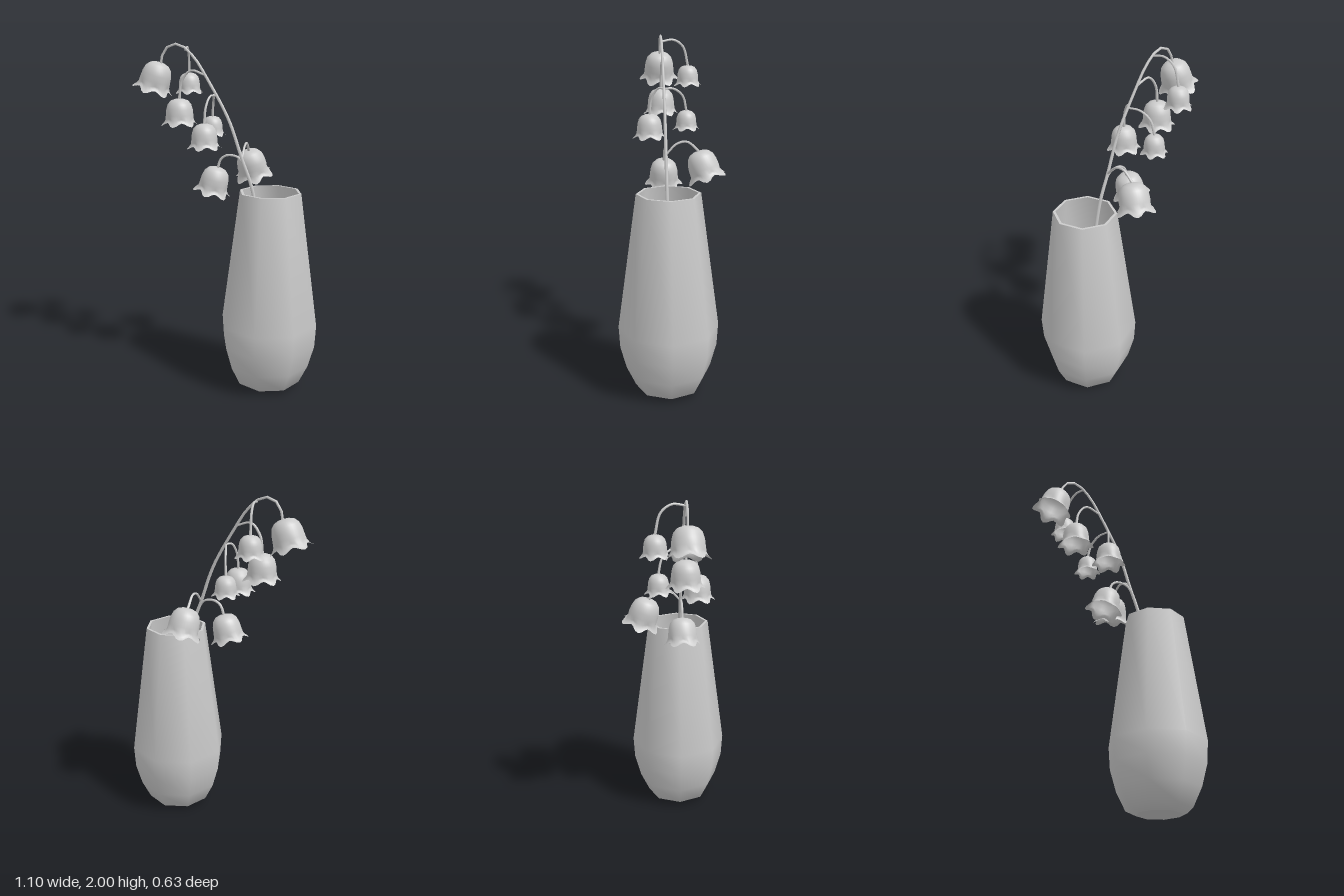
import * as THREE from 'three';
import { toCreasedNormals } from 'three/addons/utils/BufferGeometryUtils.js';

const grey = new THREE.MeshStandardMaterial({ color: 0xcccccc });
const greyThin = new THREE.MeshStandardMaterial({ color: 0xcccccc, side: THREE.DoubleSide });
const Z = 0.02; // depth of the vase axis and main stem

function mesh(name, geometry, material = grey) {
  const m = new THREE.Mesh(geometry, material);
  m.name = name;
  return m;
}

// Tube through points, tapering from radius r0 to r1
function taperedTube(points, r0, r1, rings, sides) {
  const curve = new THREE.CatmullRomCurve3(points.map((p) => new THREE.Vector3(...p)));
  const geo = new THREE.TubeGeometry(curve, rings, r0, sides);
  const pos = geo.attributes.position;
  const v = new THREE.Vector3();
  for (let i = 0; i < pos.count; i++) {
    const t = Math.floor(i / (sides + 1)) / rings;
    const c = curve.getPointAt(t);
    v.fromBufferAttribute(pos, i).sub(c).multiplyScalar(1 + (r1 / r0 - 1) * t).add(c);
    pos.setXYZ(i, v.x, v.y, v.z);
  }
  return geo;
}

// Hanging bell of unit radius with six flared petal tips; its top is the origin
function bellGeometry() {
  const profile = [
    [1, -1.42], [0.86, -1.3], [0.76, -1.1], [0.73, -0.85], [0.7, -0.55],
    [0.62, -0.28], [0.46, -0.1], [0.25, -0.02], [0, 0],
  ].map(([r, y]) => new THREE.Vector2(r, y));
  const geo = new THREE.LatheGeometry(profile, 36);
  const pos = geo.attributes.position;
  for (let i = 0; i < pos.count; i++) {
    const x = pos.getX(i), y = pos.getY(i), z = pos.getZ(i);
    const lip = THREE.MathUtils.smoothstep(-y, 0.9, 1.42);
    const valley = lip * (1 - Math.cos(6 * Math.atan2(x, z))) / 2;
    const s = 1 - 0.2 * valley;
    pos.setXYZ(i, x * s, y + 0.2 * valley, z * s);
  }
  geo.computeVertexNormals();
  // Weld the shading across the lathe seam
  const n = geo.attributes.normal, rows = profile.length, last = pos.count - rows;
  for (let j = 0; j < rows; j++) {
    const a = new THREE.Vector3().fromBufferAttribute(n, j);
    a.add(new THREE.Vector3().fromBufferAttribute(n, last + j)).normalize();
    n.setXYZ(j, a.x, a.y, a.z);
    n.setXYZ(last + j, a.x, a.y, a.z);
  }
  return geo;
}

// Each flower: bell radius, direction the bell points, spin, stalk path ending at the bell top
const flowers = [
  { r: 0.12, down: [-0.33, -1, 0], top: [-0.405, 1.885, Z] },
  { r: 0.085, down: [0, -1, 0], spin: 0.2, stalk: [[-0.25, 1.96, Z], [-0.265, 1.97, -0.05], [-0.28, 1.93, -0.11], [-0.29, 1.82, -0.14]] },
  { r: 0.108, down: [0, -1, 0], stalk: [[-0.13, 1.82, Z], [-0.22, 1.845, Z], [-0.275, 1.78, Z], [-0.29, 1.685, Z]] },
  { r: 0.08, down: [0, -1, 0], stalk: [[-0.07, 1.71, Z], [-0.1, 1.705, -0.04], [-0.125, 1.66, -0.095], [-0.138, 1.575, -0.117]] },
  { r: 0.1, down: [0, -1, 0], stalk: [[-0.07, 1.71, Z], [-0.09, 1.71, 0.05], [-0.105, 1.65, 0.088], [-0.11, 1.56, 0.1]] },
  { r: 0.112, down: [-0.27, -1, 0], stalk: [[0.1, 1.32, Z], [0.065, 1.365, Z], [0.0, 1.375, Z], [-0.04, 1.35, Z], [-0.058, 1.3, Z]] },
  { r: 0.12, down: [0.12, -1, -0.32], spin: 0.4, stalk: [[0.087, 1.36, Z], [0.083, 1.42, -0.04], [0.077, 1.43, -0.1], [0.07, 1.375, -0.165]] },
];

export function createModel() {
  const group = new THREE.Group();

  // Eight-sided vase: outer wall up, over the rim, down the inside
  const wall = [
    [0.13, 0], [0.19, 0.03], [0.243, 0.14], [0.279, 0.27], [0.287, 0.4],
    [0.18, 1.18], [0.165, 1.18], [0.272, 0.4], [0.264, 0.28],
    [0.23, 0.16], [0.18, 0.055], [0.125, 0.03], [0, 0.03],
  ].map(([r, y]) => new THREE.Vector2(r, y));
  const vase = new THREE.Group();
  vase.name = 'vase';
  vase.position.set(0.256, 0, Z);
  vase.add(mesh('vaseWall', toCreasedNormals(new THREE.LatheGeometry(wall, 8), 0.95)));
  vase.add(mesh('vaseBase', new THREE.CircleGeometry(0.13, 8).rotateX(Math.PI / 2)));
  group.add(vase);

  // Main arching stem
  const stem = [
    [0.263, 0.06], [0.24, 0.6], [0.15, 1.18], [0.085, 1.36], [0.008, 1.575], [-0.11, 1.785],
    [-0.2, 1.92], [-0.28, 1.985], [-0.338, 1.985], [-0.383, 1.944], [-0.402, 1.87],
  ].map(([x, y]) => [x, y, Z]);
  group.add(mesh('stem', taperedTube(stem, 0.013, 0.007, 40, 6), greyThin));

  // Bell flowers on their curved stalks
  const bell = bellGeometry();
  for (const f of flowers) {
    const flower = new THREE.Group();
    flower.name = 'flower';
    if (f.stalk) flower.add(mesh('stalk', taperedTube(f.stalk, 0.006, 0.008, 12, 6), greyThin));
    const head = mesh('bell', bell, greyThin);
    head.position.set(...(f.top || f.stalk[f.stalk.length - 1]));
    head.scale.setScalar(f.r);
    head.quaternion.setFromUnitVectors(new THREE.Vector3(0, -1, 0), new THREE.Vector3(...f.down).normalize());
    head.rotateY(f.spin || 0);
    flower.add(head);
    group.add(flower);
  }
  return group;
}
